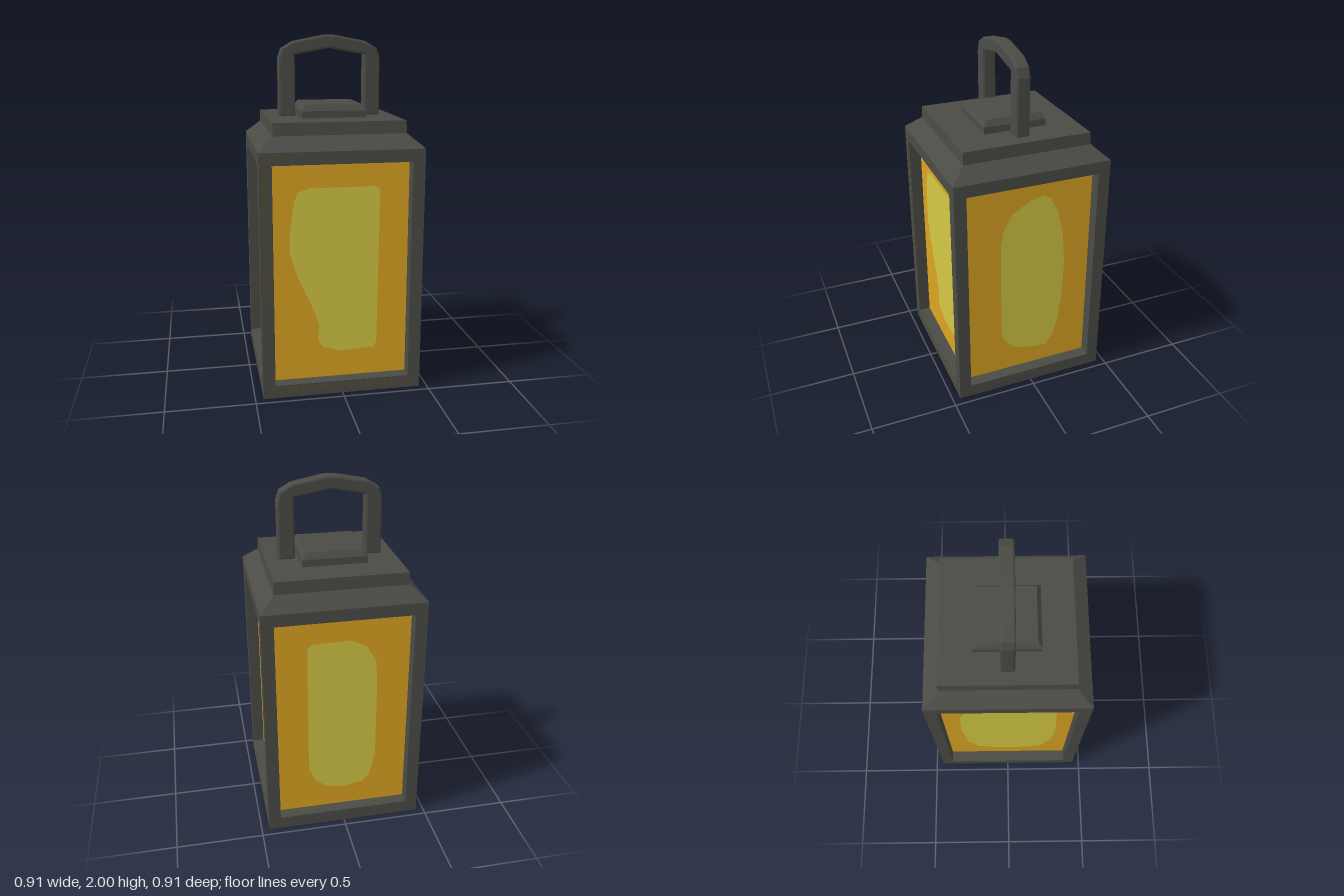
import * as THREE from 'three';

const material = (name, color) => {
  const m = new THREE.MeshStandardMaterial({ color });
  m.name = name;
  return m;
};

export function createModel() {
  const lantern = new THREE.Group();
  lantern.name = 'lantern';
  const metal = material('dark metal', 0x4b4b46);
  const worn = material('worn metal', 0x504e3c);
  const amber = material('amber glass', 0xdca422);
  const glow = material('yellow glow', 0xd4c844);

  const add = (name, geometry, mat, parent = lantern) => {
    const mesh = new THREE.Mesh(geometry, mat);
    mesh.name = name;
    parent.add(mesh);
    return mesh;
  };
  const box = (name, mat, w, h, d, x, y, z, parent) =>
    add(name, new THREE.BoxGeometry(w, h, d), mat, parent).position.set(x, y, z);
  const shapeOf = pts => new THREE.Shape(pts.map(p => new THREE.Vector2(...p)));

  // square-plan solid from a profile of [half width, y]
  const squareSolid = (name, profile) => {
    const pts = profile.map(([r, y]) => new THREE.Vector2(r * Math.SQRT2, y));
    const g = new THREE.LatheGeometry(pts, 4, Math.PI / 4).toNonIndexed();
    g.computeVertexNormals();
    add(name, g, metal);
  };

  // base, roof and cap
  squareSolid('base', [[0, 0], [0.455, 0], [0.455, 0.075], [0, 0.075]]);
  squareSolid('roof', [[0, 1.33], [0.455, 1.33], [0.455, 1.4], [0.37, 1.475], [0.367, 1.545], [0, 1.545]]);
  squareSolid('cap', [[0, 1.545], [0.183, 1.545], [0.183, 1.585], [0.16, 1.62], [0, 1.62]]);

  // corner posts
  for (const x of [-0.42, 0.42])
    for (const z of [-0.42, 0.42]) box('cornerPost', metal, 0.07, 1.255, 0.07, x, 0.7025, z);

  // recessed glass with a glow patch on each side
  box('glass', amber, 0.77, 1.255, 0.77, 0, 0.7025, 0);
  const patches = {
    front: [0, [[-0.24, 1.17], [-0.17, 1.19], [0.2, 1.19], [0.22, 1.17], [0.21, 0.27], [0.19, 0.24],
      [0, 0.23], [-0.1, 0.26], [-0.13, 0.3], [-0.125, 0.4], [-0.17, 0.52], [-0.25, 0.7],
      [-0.285, 0.82], [-0.285, 0.95], [-0.26, 1.12]]],
    left: [1, [[-0.165, 0.35], [-0.168, 0.95], [-0.15, 1.05], [-0.1, 1.14], [0, 1.2], [0.08, 1.225],
      [0.13, 1.2], [0.18, 1.1], [0.215, 0.95], [0.23, 0.75], [0.225, 0.55], [0.2, 0.35],
      [0.17, 0.24], [0.12, 0.185], [0.05, 0.19], [-0.07, 0.22], [-0.14, 0.28]]],
    back: [2, [[-0.2, 0.36], [-0.2, 1.15], [-0.17, 1.175], [0.04, 1.18], [0.13, 1.14], [0.19, 1.04],
      [0.2, 0.9], [0.2, 0.42], [0.17, 0.27], [0.12, 0.22], [0, 0.2], [-0.1, 0.22], [-0.16, 0.27]]],
    right: [3, [[-0.26, 0.4], [-0.29, 0.7], [-0.28, 1], [-0.23, 1.14], [-0.12, 1.2], [0.02, 1.22],
      [0.22, 1.2], [0.28, 1.15], [0.29, 0.9], [0.3, 0.65], [0.28, 0.42], [0.22, 0.27],
      [0.12, 0.22], [-0.05, 0.21], [-0.19, 0.26]]],
  };
  for (const [side, [turn, outline]] of Object.entries(patches)) {
    const pivot = new THREE.Group();
    pivot.name = side + 'Glow';
    pivot.rotation.y = turn * Math.PI / 2;
    lantern.add(pivot);
    add(side + 'GlowPatch', new THREE.ShapeGeometry(shapeOf(outline)), glow, pivot).position.z = 0.389;
  }

  // worn marks on the front frame
  box('wornPost', worn, 0.045, 0.8, 0.004, -0.425, 0.98, 0.455);
  box('wornHeader', worn, 0.14, 0.045, 0.004, -0.38, 1.368, 0.455);
  box('wornSill', worn, 0.8, 0.03, 0.004, 0, 0.045, 0.455);

  // handle: outer arc of the right half, inner arc, mirrored, with softened edges
  const e = 0.012;
  const outer = [[0.295, 1.54], [0.295, 1.87], [0.277, 1.925], [0.21, 1.965], [0.03, 2]];
  const inner = [[0, 1.927], [0.2, 1.89], [0.2, 1.54]];
  const mirror = pts => pts.map(([x, y]) => [-x, y]).reverse();
  const outline = [...outer, ...mirror(outer), ...mirror(inner.slice(1)), ...inner];
  const handle = new THREE.ExtrudeGeometry(shapeOf(outline), {
    depth: 0.08 - 2 * e, bevelEnabled: true, bevelThickness: e, bevelSize: e, bevelOffset: -e, bevelSegments: 2,
  });
  add('handle', handle.translate(0, 0, e - 0.04), metal);

  return lantern;
}
